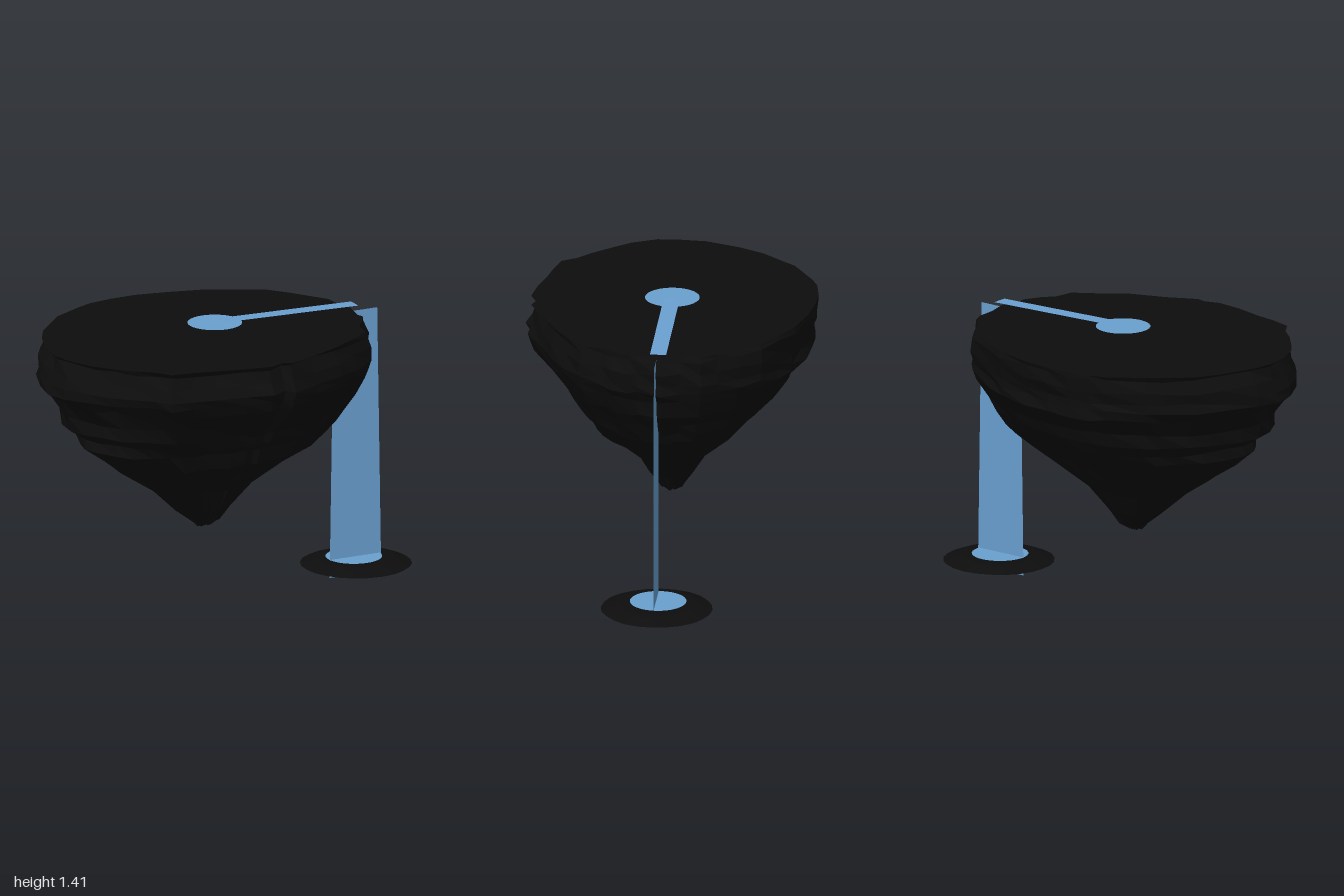
import * as THREE from 'three';

const rockMat = new THREE.MeshStandardMaterial({ color: 0x0d0d0d, flatShading: true });
rockMat.name = 'dark rock';
const waterMat = new THREE.MeshStandardMaterial({ color: 0x6aa0d0, side: THREE.DoubleSide });
waterMat.name = 'water blue';

let seed = 7;
const rand = () => (seed = (seed * 16807) % 2147483647) / 2147483647 - 0.5;

function add(group, name, geometry, material) {
  const mesh = new THREE.Mesh(geometry, material);
  mesh.name = name;
  group.add(mesh);
  return mesh;
}

// Closed skin over rings listed from top to bottom, capped at both ends
function skin(rings) {
  const n = rings[0].length, pos = [], index = [];
  rings.forEach(ring => ring.forEach(p => pos.push(...p)));
  for (let i = 0; i < rings.length - 1; i++) {
    for (let j = 0; j < n; j++) {
      const k = (j + 1) % n, a = i * n + j, b = i * n + k;
      index.push(a, b, a + n, b, b + n, a + n);
    }
  }
  for (const [r, flip] of [[0, false], [rings.length - 1, true]]) {
    const c = pos.length / 3, mid = [0, 1, 2].map(q => rings[r].reduce((s, p) => s + p[q], 0) / n);
    pos.push(...mid);
    for (let j = 0; j < n; j++) {
      const a = r * n + j, b = r * n + (j + 1) % n;
      flip ? index.push(c, a, b) : index.push(c, b, a);
    }
  }
  const g = new THREE.BufferGeometry();
  g.setAttribute('position', new THREE.Float32BufferAttribute(pos, 3));
  g.setIndex(index);
  g.computeVertexNormals();
  return g;
}

// Plan outline of the island (x, z), relative to its middle at x = CX
const CX = -0.12;
const outline = [
  [0.74, -0.02], [0.715, 0.1], [0.72, 0.14], [0.67, 0.23], [0.62, 0.29], [0.6, 0.39], [0.47, 0.48],
  [0.35, 0.56], [0.18, 0.63], [0.02, 0.7], [-0.03, 0.68], [-0.11, 0.715], [-0.25, 0.69], [-0.4, 0.655],
  [-0.52, 0.63], [-0.63, 0.61], [-0.68, 0.53], [-0.77, 0.46], [-0.85, 0.37], [-0.92, 0.28],
  [-0.98, 0.15], [-1, 0.03], [-0.98, -0.1], [-0.91, -0.28], [-0.83, -0.4], [-0.72, -0.51],
  [-0.65, -0.57], [-0.47, -0.67], [-0.39, -0.7], [-0.27, -0.715], [-0.13, -0.715], [0.03, -0.69],
  [0.22, -0.64], [0.34, -0.58], [0.5, -0.5], [0.58, -0.4], [0.65, -0.3], [0.71, -0.22], [0.715, -0.12],
].map(([x, z]) => [x - CX, z]);

// Height, then reach towards +x, -x, +z and -z
const levels = [
  [1.365, 0.82, 0.85, 0.70, 0.715], [1.34, 0.835, 0.83, 0.665, 0.715], [1.28, 0.85, 0.86, 0.69, 0.715],
  [1.22, 0.855, 0.875, 0.72, 0.685], [1.18, 0.855, 0.88, 0.70, 0.685], [1.13, 0.82, 0.82, 0.68, 0.70],
  [1.04, 0.79, 0.77, 0.60, 0.61], [0.97, 0.73, 0.77, 0.54, 0.58], [0.91, 0.69, 0.67, 0.51, 0.53],
  [0.86, 0.665, 0.68, 0.43, 0.46], [0.78, 0.57, 0.57, 0.41, 0.38], [0.70, 0.42, 0.46, 0.30, 0.32],
  [0.59, 0.25, 0.30, 0.18, 0.19], [0.47, 0.13, 0.16, 0.11, 0.115], [0.41, 0.09, 0.08, 0.06, 0.07],
  [0.375, 0.03, 0.045, 0.015, 0.015],
];

function islandGeometry() {
  return skin(levels.map(([y, R, L, F, B], i) => outline.map(([x, z]) => {
    const sx = x > 0 ? R / 0.855 : L / 0.88, sz = z > 0 ? F / 0.72 : B / 0.715;
    const c2 = x * x / (x * x + z * z);
    const s = (sx * c2 + sz * (1 - c2)) * (1 + (i ? 0.03 : 0.01) * rand());
    return [CX + x * s, y + (i ? 0.015 : 0.006) * rand(), z * s];
  })));
}

// Small flat rock under the lower pool
function poolRockGeometry() {
  const profile = [[0.088, 0.19], [0.082, 0.21], [0.057, 0.275], [0.052, 0.22], [0.046, 0.14], [0.033, 0.06]];
  return skin(profile.map(([y, r]) => Array.from({ length: 24 }, (_, j) => {
    const a = j / 24 * Math.PI * 2, q = r * (1 + 0.02 * rand());
    return [0.725 + q * Math.cos(a), y, -0.005 + q * Math.sin(a)];
  })));
}

function disc(group, name, x, y, z, r) {
  const m = add(group, name, new THREE.CircleGeometry(r, 32).rotateX(-Math.PI / 2), waterMat);
  m.position.set(x, y, z);
}

export function createModel() {
  const group = new THREE.Group();
  group.name = 'floatingIsland';
  add(group, 'islandRock', islandGeometry(), rockMat);
  add(group, 'poolRock', poolRockGeometry(), rockMat);

  // Spring on top and pool below
  disc(group, 'spring', -0.06, 1.4, -0.01, 0.135);
  disc(group, 'lowerPool', 0.715, 0.092, -0.01, 0.14);

  // Stream sloping gently to the edge
  const stream = add(group, 'stream', new THREE.PlaneGeometry(0.75, 0.08).rotateX(-Math.PI / 2), waterMat);
  stream.position.set(0.345, 1.397, -0.01);
  stream.rotation.z = -0.024;

  // Upright waterfall sheet, slightly wider at the foot
  const fall = new THREE.Shape([[0.575, 0], [0.862, 0], [0.84, 1.355], [0.597, 1.355]]
    .map(p => new THREE.Vector2(...p)));
  add(group, 'waterfall', new THREE.ShapeGeometry(fall), waterMat);
  return group;
}
